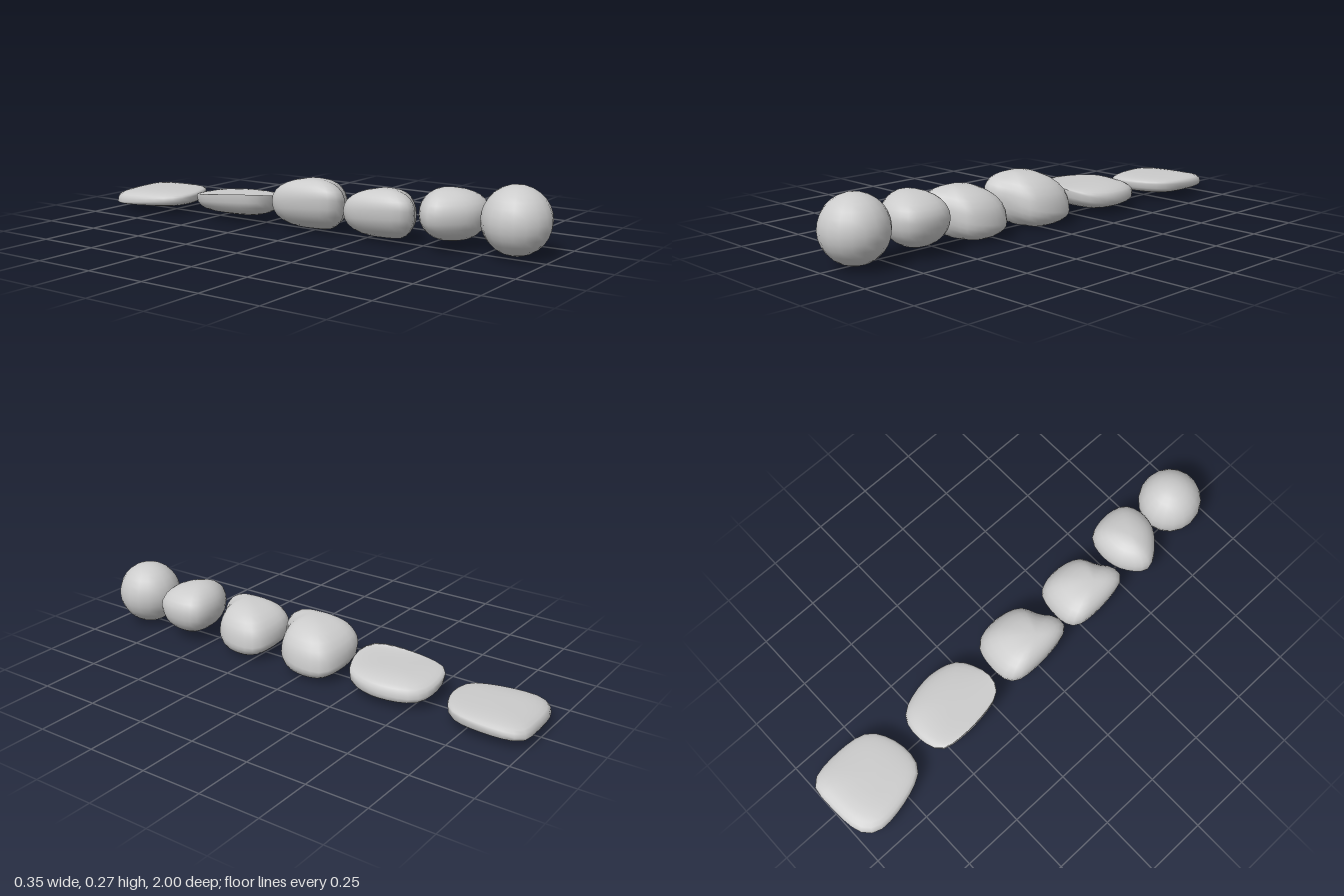
import * as THREE from 'three';
import { mergeVertices } from 'three/addons/utils/BufferGeometryUtils.js';

const SEGMENTS = 28;
const RINGS = 14;

// Plan outlines as [x, z] in a -1..1 square, clockwise from above
const eggOutline = [[-1, -0.2], [-0.5, -0.82], [0.15, -1], [0.8, -0.8], [1, 0], [0.83, 0.75], [0.3, 1], [-0.35, 0.8]];
const bluntOutline = [[-0.96, -0.74], [-0.64, -1], [0.5, -0.95], [0.87, -0.74], [1, -0.06], [0.74, 0.52], [0.1, 0.76], [-0.35, 1], [-0.8, 0.91]];
const slabOutline = [[-0.96, -0.78], [-0.31, -1], [0.6, -0.87], [1, 0], [0.78, 0.68], [0.38, 0.89], [-0.38, 1], [-0.88, 0.78]];
const shieldOutline = [[-1, -0.5], [-0.75, -0.86], [0.24, -1], [0.8, -0.92], [0.97, 0], [0.8, 0.66], [0.06, 1], [-0.6, 0.88]];

// Rounded pebble: a tilted rim drawn in to a top point and a bottom point.
// fullness below 1 makes a fuller, flatter stone.
function pebbleGeometry({ outline, center, half, rimY, tilt, top, bottomY, fullness }) {
  const rim = outline.map(([u, w]) => {
    const x = u * half[0];
    const z = w * half[1];
    return new THREE.Vector3(center[0] + x, rimY + tilt[0] * x + tilt[1] * z, center[1] + z);
  });
  const edge = new THREE.CatmullRomCurve3(rim, true).getSpacedPoints(SEGMENTS).slice(0, SEGMENTS);
  const topPoint = new THREE.Vector3(...top);
  const bottomPoint = new THREE.Vector3(0.05, bottomY, center[1]);
  const positions = [];
  const index = [];

  for (let i = 0; i <= RINGS; i++) {
    const angle = (i / RINGS) * Math.PI;
    const spread = i % RINGS === 0 ? 0 : Math.sin(angle) ** fullness;
    const lift = Math.abs(Math.cos(angle)) ** fullness;
    const pole = i < RINGS / 2 ? topPoint : bottomPoint;
    for (const e of edge) {
      positions.push(
        THREE.MathUtils.lerp(pole.x, e.x, spread),
        THREE.MathUtils.lerp(e.y, pole.y, lift),
        THREE.MathUtils.lerp(pole.z, e.z, spread)
      );
    }
  }
  for (let i = 0; i < RINGS; i++) {
    for (let j = 0; j < SEGMENTS; j++) {
      const a = i * SEGMENTS + j;
      const b = i * SEGMENTS + ((j + 1) % SEGMENTS);
      const c = a + SEGMENTS;
      const d = b + SEGMENTS;
      if (i > 0) index.push(a, b, c);
      if (i < RINGS - 1) index.push(b, d, c);
    }
  }
  const geometry = new THREE.BufferGeometry();
  geometry.setAttribute('position', new THREE.Float32BufferAttribute(positions, 3));
  geometry.setIndex(index);
  const merged = mergeVertices(geometry, 1e-5);
  merged.computeVertexNormals();
  return merged;
}

export function createModel() {
  const group = new THREE.Group();
  group.name = 'stoneRow';
  const material = new THREE.MeshStandardMaterial({ color: 0xcccccc });

  function add(name, geometry) {
    const mesh = new THREE.Mesh(geometry, material);
    mesh.name = name;
    group.add(mesh);
  }

  // Ball at the front of the row
  add('ball', new THREE.SphereGeometry(0.131, 18, 14).translate(0.026, 0.144, 0.869));

  // Stones that grow flatter toward the back
  add('roundedStone', pebbleGeometry({
    outline: eggOutline, center: [0.012, 0.612], half: [0.143, 0.122],
    rimY: 0.145, tilt: [0, 0.04], top: [0, 0.24, 0.6], bottomY: 0.035, fullness: 0.95,
  }));
  add('slopedStone', pebbleGeometry({
    outline: bluntOutline, center: [0.01, 0.332], half: [0.125, 0.148],
    rimY: 0.108, tilt: [-0.25, 0.1], top: [-0.035, 0.215, 0.36], bottomY: 0.01, fullness: 0.9,
  }));
  add('ridgedStone', pebbleGeometry({
    outline: bluntOutline, center: [0.013, 0], half: [0.133, 0.16],
    rimY: 0.108, tilt: [-0.27, 0.12], top: [-0.045, 0.222, 0.03], bottomY: 0.005, fullness: 0.9,
  }));
  add('dishedStone', pebbleGeometry({
    outline: slabOutline, center: [0.018, -0.385], half: [0.138, 0.185],
    rimY: 0.097, tilt: [-0.2, 0.11], top: [0, 0.122, -0.38], bottomY: 0.025, fullness: 0.75,
  }));
  add('flatStone', pebbleGeometry({
    outline: shieldOutline, center: [-0.002, -0.818], half: [0.175, 0.182],
    rimY: 0.062, tilt: [0.05, 0.08], top: [0, 0.098, -0.78], bottomY: 0.028, fullness: 0.65,
  }));
  return group;
}
